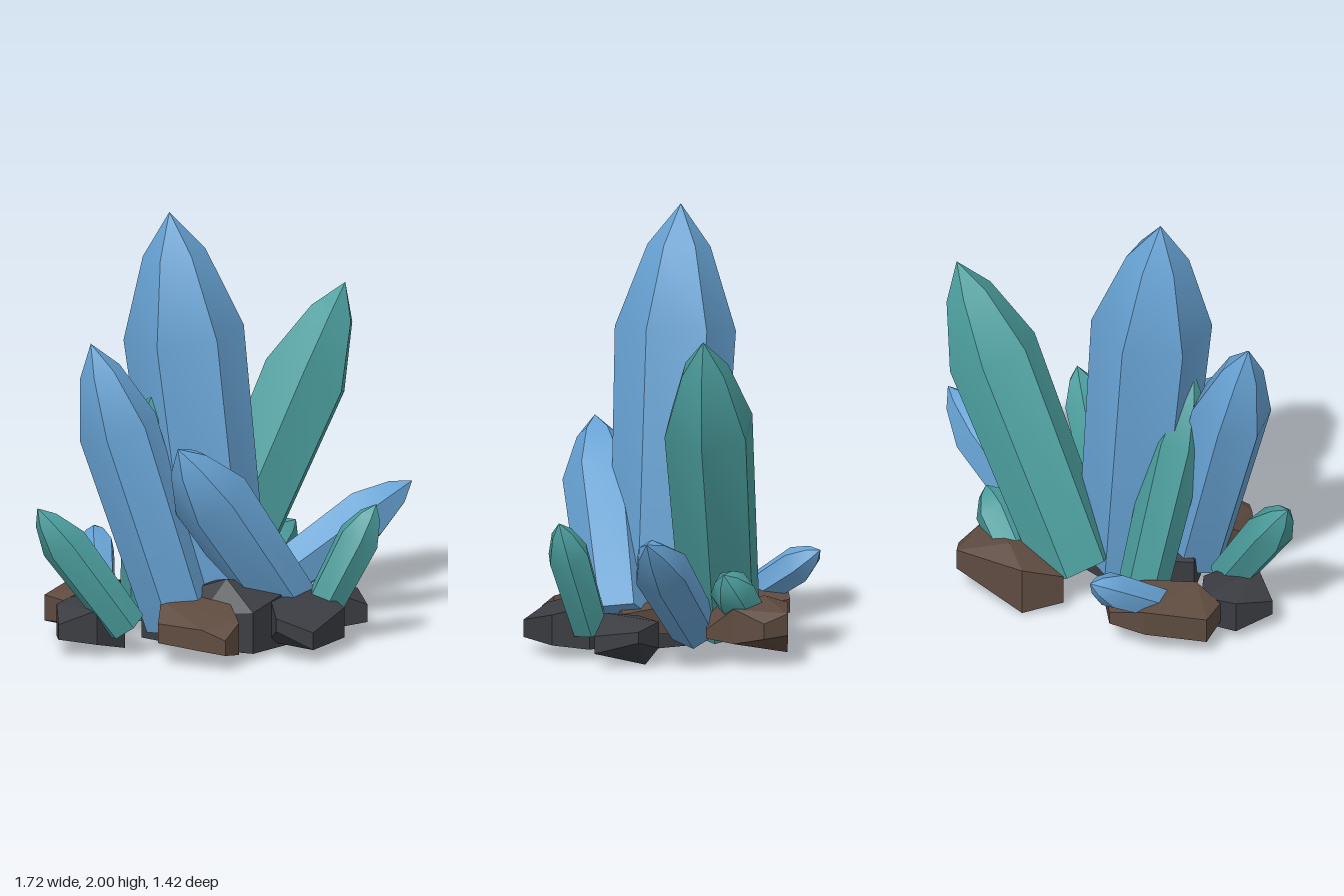
import * as THREE from 'three';
import { toCreasedNormals } from 'three/addons/utils/BufferGeometryUtils.js';
import { ConvexGeometry } from 'three/addons/geometries/ConvexGeometry.js';

function paint(name, hex) {
  const m = new THREE.MeshStandardMaterial({ color: hex });
  m.name = name;
  return m;
}

export function createModel() {
  const group = new THREE.Group();
  const blue = paint('blue crystal', 0x67a2d3);
  const teal = paint('teal crystal', 0x4b9c9c);
  const brown = paint('brown rock', 0x5e4b40);
  const dark = paint('dark rock', 0x3b3d42);

  // Six-sided shaft with a two-step point, sharp between sides and soft along its length
  function crystal(name, material, base, tip, radius, phase) {
    const from = new THREE.Vector3(...base);
    const axis = new THREE.Vector3(...tip).sub(from);
    const length = axis.length();
    const profile = [[0, 0], [0.88, 0], [1, 0.7], [0.52, 0.9], [0, 1]]
      .map(([r, h]) => new THREE.Vector2(r * radius, h * length));
    const geometry = new THREE.LatheGeometry(profile, 6, THREE.MathUtils.degToRad(phase));
    const mesh = new THREE.Mesh(toCreasedNormals(geometry, THREE.MathUtils.degToRad(35)), material);
    mesh.name = name;
    mesh.position.copy(from);
    mesh.quaternion.setFromUnitVectors(new THREE.Vector3(0, 1, 0), axis.normalize());
    group.add(mesh);
  }

  // Blocky boulder: the hull of upright edges, each given as [x, z, bottom, top]
  function rock(name, material, edges) {
    const points = edges.flatMap(([x, z, bottom, top]) =>
      [new THREE.Vector3(x, bottom, z), new THREE.Vector3(x, top, z)]);
    const mesh = new THREE.Mesh(new ConvexGeometry(points), material);
    mesh.name = name;
    group.add(mesh);
  }

  // Large crystals
  crystal('mainCrystal', blue, [-0.06, 0.12, 0.04], [-0.22, 2, -0.11], 0.275, 40);
  crystal('tallTealCrystal', teal, [0.165, 0.14, -0.155], [0.76, 1.52, 0.16], 0.215, 0);
  crystal('rightBlueCrystal', blue, [-0.34, 0.14, 0.04], [-0.645, 1.45, -0.24], 0.185, 50);
  crystal('frontBlueCrystal', blue, [0.09, 0.16, 0.32], [-0.55, 1, 0.18], 0.178, 40);
  crystal('backTealCrystal', teal, [-0.16, 0.1, -0.29], [-0.37, 1.2, -0.09], 0.13, 30);

  // Small crystals around the edge
  crystal('rightTealCrystal', teal, [-0.54, 0.13, -0.12], [-0.85, 0.7, -0.39], 0.11, 30);
  crystal('frontTealCrystal', teal, [0.14, 0.14, 0.47], [0.29, 0.65, 0.68], 0.102, 10);
  crystal('leftBlueCrystal', blue, [0.28, 0.14, 0.02], [0.85, 0.62, 0.47], 0.13, 0);
  crystal('backBlueCrystal', blue, [-0.29, 0.16, -0.45], [0.01, 0.41, -0.7], 0.088, 0);
  crystal('leftTealCrystal', teal, [0.4, 0.14, -0.22], [0.6, 0.42, 0], 0.105, 30);

  // Rocks at the foot
  rock('backRock', brown, [[-0.55, -0.46, 0.1, 0.2], [-0.51, -0.6, 0.08, 0.2],
    [-0.23, -0.63, 0.11, 0.23], [-0.06, -0.58, 0.12, 0.18], [0, -0.36, 0.1, 0.17],
    [-0.2, -0.38, 0.05, 0.24], [-0.43, -0.39, 0.05, 0.26]]);
  rock('backRightRock', dark, [[-0.77, -0.33, 0.08, 0.15], [-0.62, -0.45, 0.05, 0.2],
    [-0.46, -0.45, 0.08, 0.22], [-0.44, -0.25, 0.04, 0.2], [-0.52, -0.14, 0.02, 0.18],
    [-0.68, -0.18, 0.06, 0.22]]);
  rock('frontRightRock', brown, [[-0.62, 0.12, 0.1, 0.19], [-0.57, 0.33, 0.08, 0.18],
    [-0.54, 0.44, 0.07, 0.14], [-0.42, 0.43, 0.05, 0.2], [-0.3, 0.28, 0.04, 0.26],
    [-0.3, 0.05, 0.05, 0.27], [-0.5, 0.05, 0.08, 0.27]]);
  rock('middleRock', dark, [[-0.4, 0.2, 0.04, 0.2], [-0.3, 0.42, 0.03, 0.22],
    [0, 0.42, 0.02, 0.28], [0.2, 0.28, 0.03, 0.19], [0.2, 0, 0.04, 0.19],
    [-0.1, -0.2, 0.02, 0.22], [-0.38, -0.15, 0.04, 0.2], [-0.27, 0.25, 0.02, 0.35]]);
  rock('innerRock', brown, [[0.04, 0.1, 0.1, 0.24], [0.05, 0.33, 0.1, 0.24],
    [0.2, 0.33, 0.1, 0.2], [0.21, 0.1, 0.1, 0.23]]);
  rock('frontRock', dark, [[-0.26, 0.52, 0.14, 0.2], [-0.18, 0.67, 0.06, 0.14],
    [0.1, 0.64, 0.06, 0.2], [0.16, 0.48, 0.04, 0.24], [0.1, 0.35, 0.04, 0.27],
    [-0.1, 0.36, 0.04, 0.27]]);
  rock('frontLeftRock', dark, [[0.25, 0.28, 0.06, 0.2], [0.25, 0.44, 0.04, 0.22],
    [0.4, 0.55, 0.06, 0.14], [0.54, 0.39, 0.12, 0.17], [0.46, 0.26, 0.08, 0.2],
    [0.36, 0.22, 0.1, 0.16], [0.42, 0.31, 0, 0.2]]);
  rock('leftRock', brown, [[0.19, -0.33, 0.04, 0.18], [0.37, -0.4, 0.01, 0.24],
    [0.69, -0.28, 0.14, 0.24], [0.7, -0.16, 0.13, 0.2], [0.6, -0.05, 0.1, 0.26],
    [0.46, 0.03, 0.11, 0.15], [0.28, -0.05, 0.08, 0.24], [0.45, -0.26, 0.1, 0.29]]);

  return group;
}
